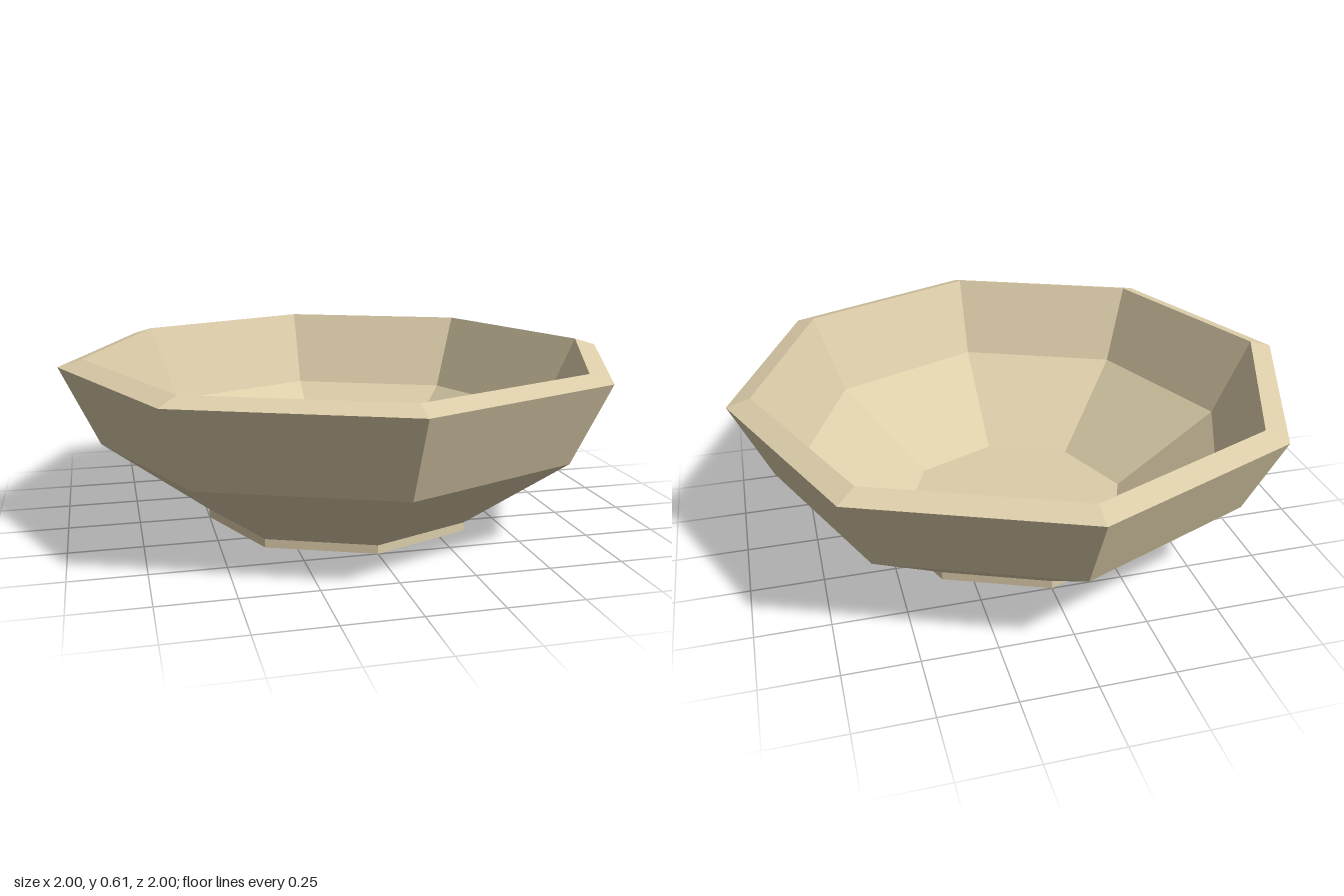
import * as THREE from 'three';

const SIDES = 8;

// Gives every face its own hard-edged normal
function faceted(geometry) {
  const flat = geometry.toNonIndexed();
  flat.computeVertexNormals();
  return flat;
}

export function createModel() {
  const model = new THREE.Group();
  model.name = 'bowl';
  const clay = new THREE.MeshStandardMaterial({ color: 0xddceaa });
  clay.name = 'pale clay';

  // Thick wall: the inner profile is the outer one shifted inwards and up
  const outer = [[0.5, 0.03], [0.87, 0.3], [1, 0.58]];
  const inner = outer.map(([r, y]) => [r - 0.082, y + 0.025]).reverse();
  const profile = [...outer, ...inner, outer[0]].map(([r, y]) => new THREE.Vector2(r, y));
  const wall = new THREE.Mesh(faceted(new THREE.LatheGeometry(profile, SIDES)), clay);
  wall.name = 'wall';
  model.add(wall);

  // Low foot whose top is the floor inside the wall
  const footGeometry = new THREE.CylinderGeometry(0.5, 0.5, 0.03, SIDES);
  footGeometry.translate(0, 0.015, 0);
  const foot = new THREE.Mesh(faceted(footGeometry), clay);
  foot.name = 'foot';
  model.add(foot);

  return model;
}
